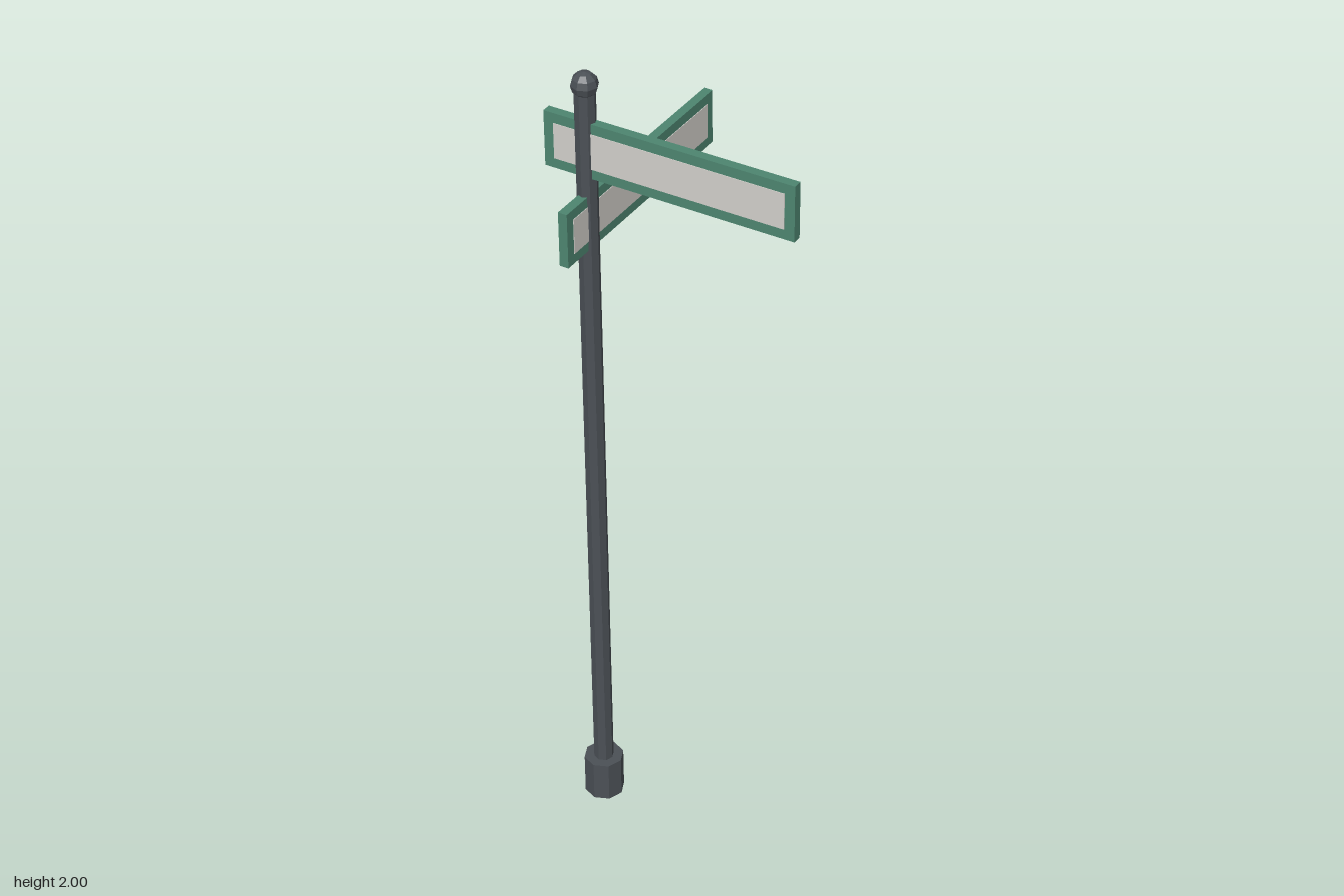
import * as THREE from 'three';

const metal = new THREE.MeshStandardMaterial({ name: 'darkMetal', color: 0x4b5056, flatShading: true });
const green = new THREE.MeshStandardMaterial({ name: 'signGreen', color: 0x4d8570 });
const pale = new THREE.MeshStandardMaterial({ name: 'panelPale', color: 0xd2cfca });

const POST_X = -0.206;
const POST_Z = 0.204;

function part(name, geometry, material, x, y, z) {
  const mesh = new THREE.Mesh(geometry, material);
  mesh.name = name;
  mesh.position.set(x, y, z);
  return mesh;
}

// Green board with a slightly raised pale panel on both faces, lying along x
function makeSign(name, height) {
  const sign = new THREE.Group();
  sign.name = name;
  sign.add(part('board', new THREE.BoxGeometry(0.608, height, 0.022), green, 0, 0, 0));
  for (const side of [-1, 1]) {
    const panel = new THREE.BoxGeometry(0.56, height - 0.048, 0.002);
    sign.add(part('panel', panel, pale, 0, 0, side * 0.0115));
  }
  return sign;
}

export function createModel() {
  const model = new THREE.Group();
  model.name = 'streetSignPost';

  // Octagonal post with foot and ball finial
  model.add(part('base', new THREE.CylinderGeometry(0.048, 0.048, 0.105, 8), metal, POST_X, 0.0525, POST_Z));
  model.add(part('pole', new THREE.CylinderGeometry(0.024, 0.024, 1.95, 8), metal, POST_X, 0.985, POST_Z));
  model.add(part('finial', new THREE.SphereGeometry(0.031, 8, 6), metal, POST_X, 1.969, POST_Z));

  // Two street signs crossing at right angles
  const upper = makeSign('upperSign', 0.134);
  upper.position.set(0, 1.817, POST_Z);
  const lower = makeSign('lowerSign', 0.134);
  lower.position.set(POST_X, 1.639, 0);
  lower.rotation.y = Math.PI / 2;
  model.add(upper, lower);

  return model;
}
